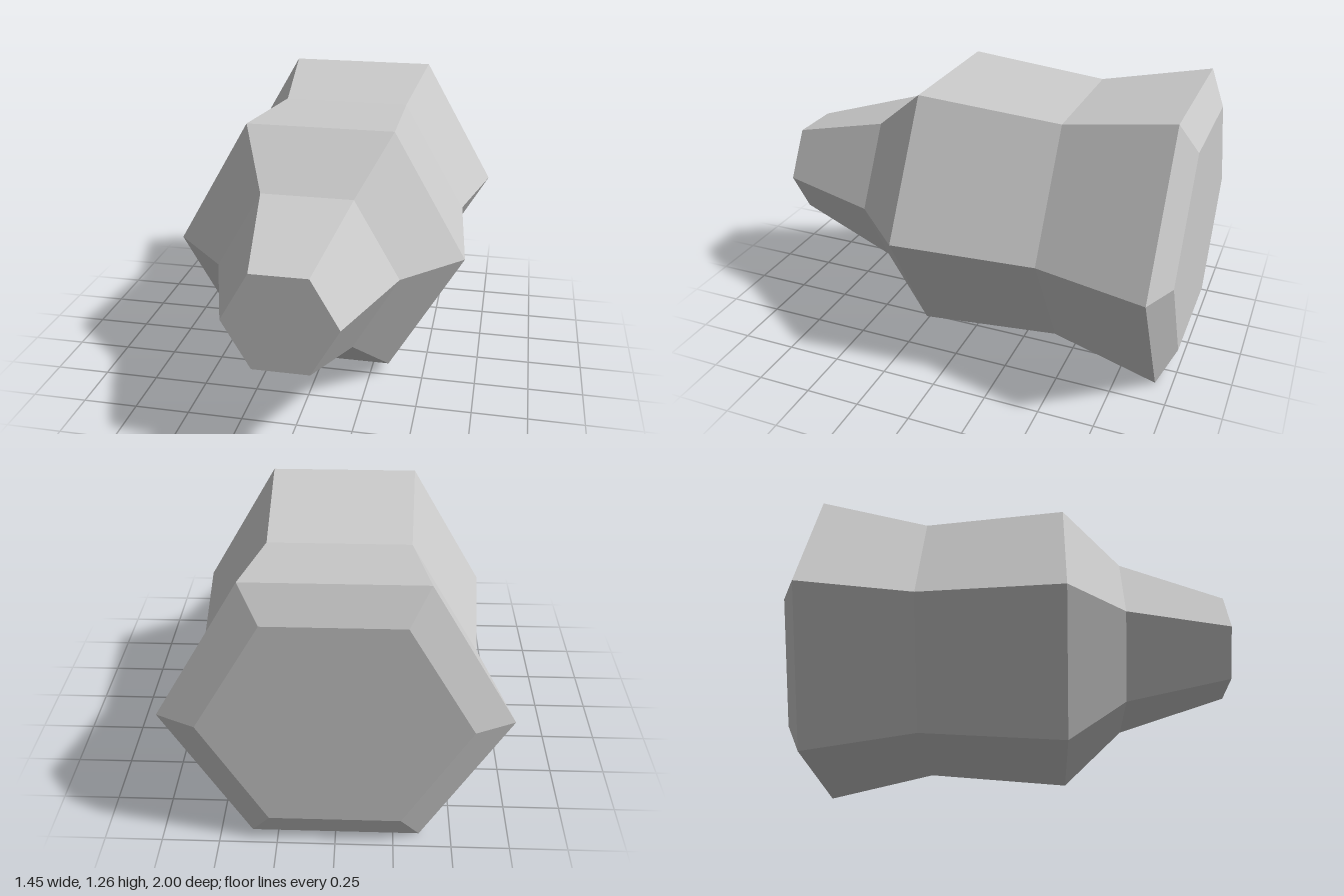
import * as THREE from 'three';

// Cross-sections along the axis, back to front: [corner radius, z]
const SECTIONS = [
  [0, -1], // back cap centre
  [0.56, -1], // back cap, inside the bevel
  [0.727, -0.925], // flared rear rim
  [0.613, -0.425], // waist
  [0.67, 0.23], // shoulder
  [0.408, 0.5], // neck
  [0.244, 1], // tip
  [0, 1], // front cap centre
];

export function createModel() {
  const group = new THREE.Group();
  group.name = 'hexagonalPlug';

  // Six-sided lathe with corners on +x and -x, laid down so its axis runs along z
  const profile = SECTIONS.map(([r, z]) => new THREE.Vector2(r, z));
  const lathe = new THREE.LatheGeometry(profile, 6, Math.PI / 2);
  lathe.rotateX(Math.PI / 2);
  const geometry = lathe.toNonIndexed();
  geometry.computeVertexNormals();

  const body = new THREE.Mesh(
    geometry,
    new THREE.MeshStandardMaterial({ color: 0xcccccc, flatShading: true })
  );
  body.name = 'body';
  body.position.y = 0.727 * Math.cos(Math.PI / 6); // rests on the rear rim
  group.add(body);
  return group;
}
